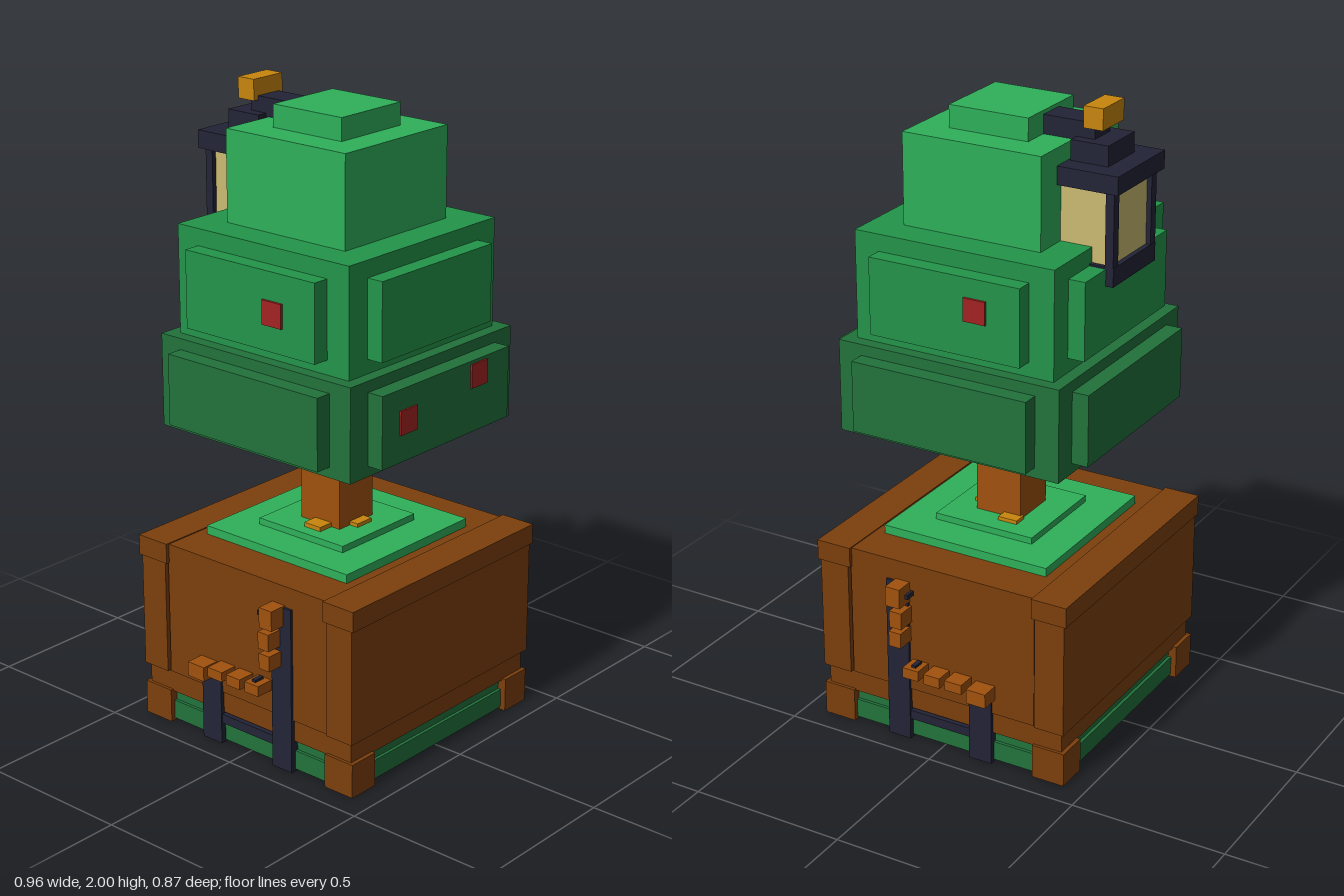
import * as THREE from 'three';

const mat = (name, color, side = THREE.FrontSide) => {
  const m = new THREE.MeshStandardMaterial({ color, side });
  m.name = name;
  return m;
};

export function createModel() {
  const root = new THREE.Group();
  root.name = 'pottedTreeWithLantern';

  const leafLight = mat('lightLeaf', 0x2eb05a);
  const leafMid = mat('midLeaf', 0x23954a);
  const leafDark = mat('darkLeaf', 0x22723b);
  const wood = mat('planterWood', 0x7c3f0c);
  const bark = mat('bark', 0xa0510d);
  const iron = mat('darkIron', 0x222336);
  const glass = mat('lampGlass', 0xcbbb72);
  const gold = mat('gold', 0xc8860d);
  const red = mat('redBerry', 0xa32222);

  // Box from its min and max on each axis
  const box = (name, m, x0, x1, y0, y1, z0, z1, parent = root) => {
    const mesh = new THREE.Mesh(new THREE.BoxGeometry(x1 - x0, y1 - y0, z1 - z0), m);
    mesh.position.set((x0 + x1) / 2, (y0 + y1) / 2, (z0 + z1) / 2);
    mesh.name = name;
    parent.add(mesh);
    return mesh;
  };
  // Box centred on the trunk axis with square plan
  const block = (name, m, r, y0, y1, parent) => box(name, m, -r, r, y0, y1, -r, r, parent);
  const group = (name) => {
    const g = new THREE.Group();
    g.name = name;
    root.add(g);
    return g;
  };

  // Planter: base, lower rim, walls, feet
  const planter = group('planter');
  block('base', leafDark, 0.41, 0.008, 0.07, planter);
  block('baseStep', leafDark, 0.4, 0.07, 0.105, planter);
  block('lowerRim', wood, 0.415, 0.105, 0.175, planter);
  block('planterCore', wood, 0.33, 0.175, 0.607, planter);
  for (const s of [-1, 1]) {
    const side = (a, b) => (s > 0 ? [a, b] : [-b, -a]);
    box('endWall', wood, -0.428, 0.428, 0.175, 0.545, ...side(0.328, 0.427), planter);
    box('endWallCap', wood, -0.432, 0.432, 0.545, 0.61, ...side(0.318, 0.435), planter);
    box('sideWall', wood, ...side(0.31, 0.42), 0.175, 0.607, -0.322, 0.322, planter);
    for (const t of [-1, 1]) {
      const z = t > 0 ? [0.32, 0.428] : [-0.428, -0.32];
      box('foot', wood, ...side(0.32, 0.425), 0, 0.11, ...z, planter);
    }
  }

  // Red patch under the base
  const patch = new THREE.Shape([
    new THREE.Vector2(0.16, 0.16), new THREE.Vector2(-0.16, -0.16), new THREE.Vector2(0.16, -0.16),
  ]);
  const underPatch = new THREE.Mesh(new THREE.ShapeGeometry(patch), red);
  underPatch.name = 'underPatch';
  underPatch.rotation.x = Math.PI / 2;
  underPatch.position.y = 0.004;
  root.add(underPatch);

  // Chair-shaped iron brackets with wooden pegs on both sides
  const pegs = [ // z0, z1, y0, y1
    [0.11, 0.16, 0.48, 0.545],
    [0.105, 0.147, 0.41, 0.465],
    [0.108, 0.15, 0.345, 0.395],
    [0.048, 0.103, 0.248, 0.282],
    [-0.028, 0.028, 0.246, 0.28],
    [-0.105, -0.046, 0.248, 0.28],
    [-0.188, -0.122, 0.225, 0.272],
  ];
  for (const s of [-1, 1]) {
    const g = group(s > 0 ? 'leftBracket' : 'rightBracket');
    const sbox = (name, m, a, b, ...rest) =>
      box(name, m, s > 0 ? a : -b, s > 0 ? b : -a, ...rest, g);
    sbox('tallPost', iron, 0.38, 0.428, 0.001, 0.54, 0.112, 0.19);
    sbox('shortPost', iron, 0.38, 0.428, 0.001, 0.23, -0.178, -0.1);
    sbox('crossBar', iron, 0.38, 0.424, 0.07, 0.1, -0.1, 0.112);
    for (const [z0, z1, y0, y1] of pegs) sbox('peg', bark, 0.418, 0.48, y0, y1, z0, z1);
    sbox('pin', iron, 0.43, 0.465, 0.275, 0.29, 0.065, 0.08);
    sbox('pin', iron, 0.43, 0.465, 0.51, 0.525, 0.09, 0.1);
  }

  // Moss, trunk and fallen leaves
  block('mossLower', leafLight, 0.285, 0.6, 0.635);
  block('mossUpper', leafLight, 0.17, 0.63, 0.656);
  block('trunk', bark, 0.078, 0.65, 0.98);
  box('fallenLeaf', gold, -0.13, -0.07, 0.65, 0.67, -0.02, 0.045);
  box('fallenLeaf', gold, 0.07, 0.115, 0.65, 0.668, -0.085, -0.02);
  box('fallenLeaf', gold, -0.03, 0.035, 0.65, 0.668, 0.07, 0.11);

  // Foliage tiers: a core with a raised panel on all four sides
  const tier = (name, m, core, y0, y1, half, out, p0, p1) => {
    const g = group(name);
    block('core', m, core, y0, y1, g);
    box('sidePanels', m, -out, out, p0, p1, -half, half, g);
    box('endPanels', m, -half, half, p0, p1, -out, out, g);
  };
  tier('lowerFoliage', leafDark, 0.373, 0.972, 1.265, 0.295, 0.426, 1.005, 1.23);
  tier('middleFoliage', leafMid, 0.333, 1.265, 1.605, 0.252, 0.387, 1.31, 1.552);
  block('upperFoliage', leafLight, 0.23, 1.605, 1.89);
  block('treeTop', leafLight, 0.132, 1.89, 1.96);

  // Berries
  box('berry', red, -0.218, -0.143, 1.09, 1.165, 0.425, 0.432);
  box('berry', red, 0.11, 0.185, 1.145, 1.22, 0.425, 0.432);
  box('berry', red, 0.386, 0.395, 1.42, 1.492, -0.143, -0.07);
  box('berry', red, -0.395, -0.386, 1.39, 1.465, 0.056, 0.13);

  // Lantern hanging at the back
  const lamp = group('lantern');
  box('arm', iron, -0.045, 0.045, 1.888, 1.948, -0.3, -0.125, lamp);
  box('finial', gold, -0.063, 0.063, 1.935, 2.0, -0.335, -0.272, lamp);
  box('roofStep', iron, -0.079, 0.079, 1.835, 1.9, -0.362, -0.24, lamp);
  box('roof', iron, -0.143, 0.143, 1.782, 1.838, -0.428, -0.232, lamp);
  box('glass', glass, -0.115, 0.115, 1.55, 1.785, -0.395, -0.22, lamp);
  box('bottomBar', iron, -0.13, 0.13, 1.5, 1.558, -0.411, -0.33, lamp);
  for (const x of [-0.13, 0.1]) {
    box('post', iron, x, x + 0.03, 1.55, 1.785, -0.41, -0.383, lamp);
  }

  return root;
}
